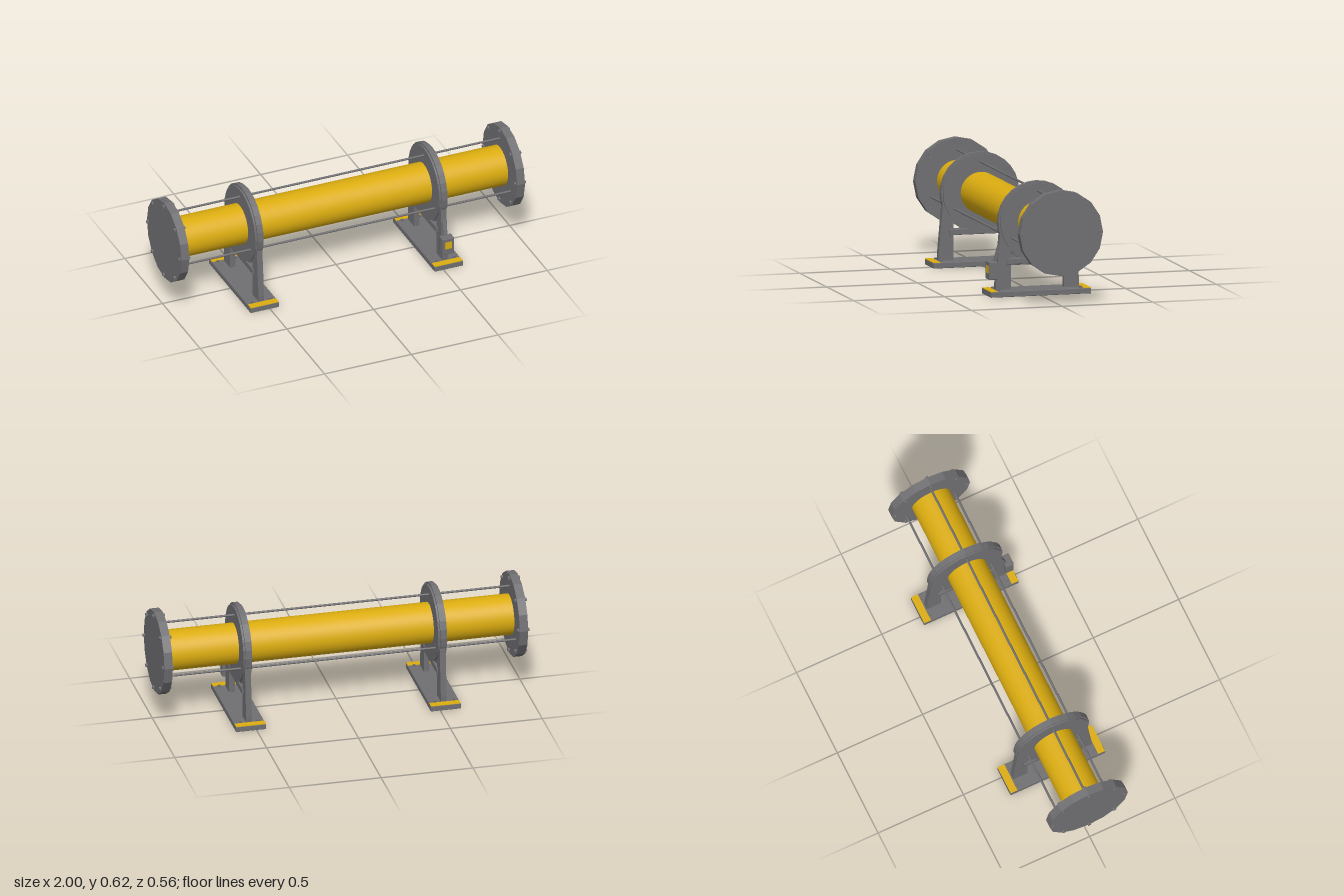
import * as THREE from 'three';
import { RoundedBoxGeometry } from 'three/addons/geometries/RoundedBoxGeometry.js';

const AXIS_Y = 0.388;

export function createModel() {
  const model = new THREE.Group();
  const steel = new THREE.MeshStandardMaterial({ color: 0x707073 });
  const yellow = new THREE.MeshStandardMaterial({ color: 0xdcad10 });

  function add(parent, name, geometry, material, x = 0, y = 0, z = 0) {
    const mesh = new THREE.Mesh(geometry, material);
    mesh.name = name;
    mesh.position.set(x, y, z);
    parent.add(mesh);
    return mesh;
  }
  // Cylinder lying along x, optionally faceted
  function barX(radius, length, sides, faceted = false, open = false) {
    let g = new THREE.CylinderGeometry(radius, radius, length, sides, 1, open);
    if (faceted) {
      g = g.toNonIndexed();
      g.computeVertexNormals();
    }
    return g.rotateZ(Math.PI / 2);
  }
  const block = (w, h, d, r = 0.003) => new RoundedBoxGeometry(w, h, d, 1, r);

  // Main tube
  add(model, 'tube', barX(0.11, 1.9, 48, false, true), yellow, 0, AXIS_Y, 0);

  // Three tie rods around the tube
  for (let i = 0; i < 3; i++) {
    const a = (i * Math.PI * 2) / 3;
    add(model, 'tieRod', barX(0.006, 1.9, 10), steel,
      0, AXIS_Y + 0.165 * Math.cos(a), 0.165 * Math.sin(a));
  }

  // End flanges with bolt circles
  for (const s of [-1, 1]) {
    const flange = new THREE.Group();
    flange.name = s > 0 ? 'leftFlange' : 'rightFlange';
    flange.position.set(s * 0.967, AXIS_Y, 0);
    add(flange, 'flangeDisc', barX(0.229, 0.046, 16, true), steel);
    for (let i = 0; i < 8; i++) {
      const a = (i * Math.PI) / 4;
      const bolt = barX(0.01, 0.066, 6, true).rotateX(Math.PI / 2);
      add(flange, 'flangeBolt', bolt, steel, 0, 0.209 * Math.cos(a), 0.209 * Math.sin(a));
    }
    model.add(flange);
  }

  // Tapered leg profile, extruded across the support
  const legShape = new THREE.Shape([
    [0.147, 0.025], [0.229, 0.025], [0.23, 0.06], [0.207, 0.32],
    [0.195, 0.42], [0.147, 0.42],
  ].map(([z, y]) => new THREE.Vector2(z, y)));
  const legGeometry = new THREE.ExtrudeGeometry(legShape, { depth: 0.032, bevelEnabled: false })
    .translate(0, 0, -0.016).rotateY(-Math.PI / 2);

  // Ring clamp with a raised band in the middle of its rim
  function ring(radius, width) {
    const shape = new THREE.Shape().absarc(0, 0, radius, 0, Math.PI * 2);
    shape.holes.push(new THREE.Path().absarc(0, 0, 0.108, 0, Math.PI * 2, true));
    return new THREE.ExtrudeGeometry(shape, { depth: width, bevelEnabled: false, curveSegments: 14 })
      .translate(0, 0, -width / 2).rotateY(Math.PI / 2);
  }

  // Two support stands
  for (const s of [-1, 1]) {
    const stand = new THREE.Group();
    stand.name = s > 0 ? 'leftStand' : 'rightStand';
    stand.position.x = s * 0.53;
    add(stand, 'basePlate', block(0.164, 0.03, 0.555), steel, 0, 0.015, 0);
    add(stand, 'crossbar', block(0.046, 0.032, 0.338), steel, 0, 0.181, 0);
    add(stand, 'clampRing', ring(0.206, 0.048), steel, 0, AXIS_Y, 0);
    add(stand, 'clampBand', ring(0.216, 0.028), steel, 0, AXIS_Y, 0);
    for (const f of [-1, 1]) {
      const leg = add(stand, f > 0 ? 'frontLeg' : 'backLeg', legGeometry, steel);
      if (f < 0) leg.rotation.y = Math.PI;
      add(stand, 'baseMarking', new THREE.BoxGeometry(0.162, 0.003, 0.04), yellow,
        0, 0.0305, f * 0.2565);
      for (const x of [-0.05, 0.05]) {
        add(stand, 'baseBolt', new THREE.CylinderGeometry(0.008, 0.008, 0.01, 6), steel,
          x, 0.033, f * 0.228);
      }
    }
    model.add(stand);
  }

  // Control box on the left front leg
  const control = new THREE.Group();
  control.name = 'controlBox';
  control.position.set(0.53, 0.135, 0.248);
  add(control, 'boxBody', block(0.068, 0.096, 0.048, 0.004), steel);
  add(control, 'boxPanel', new THREE.BoxGeometry(0.038, 0.04, 0.005), yellow, 0, 0.007, 0.0245);
  const strap = add(control, 'boxStrap', new THREE.BoxGeometry(0.022, 0.1, 0.011), steel,
    0, 0.084, -0.026);
  strap.rotation.x = -0.28;
  model.add(control);

  return model;
}
